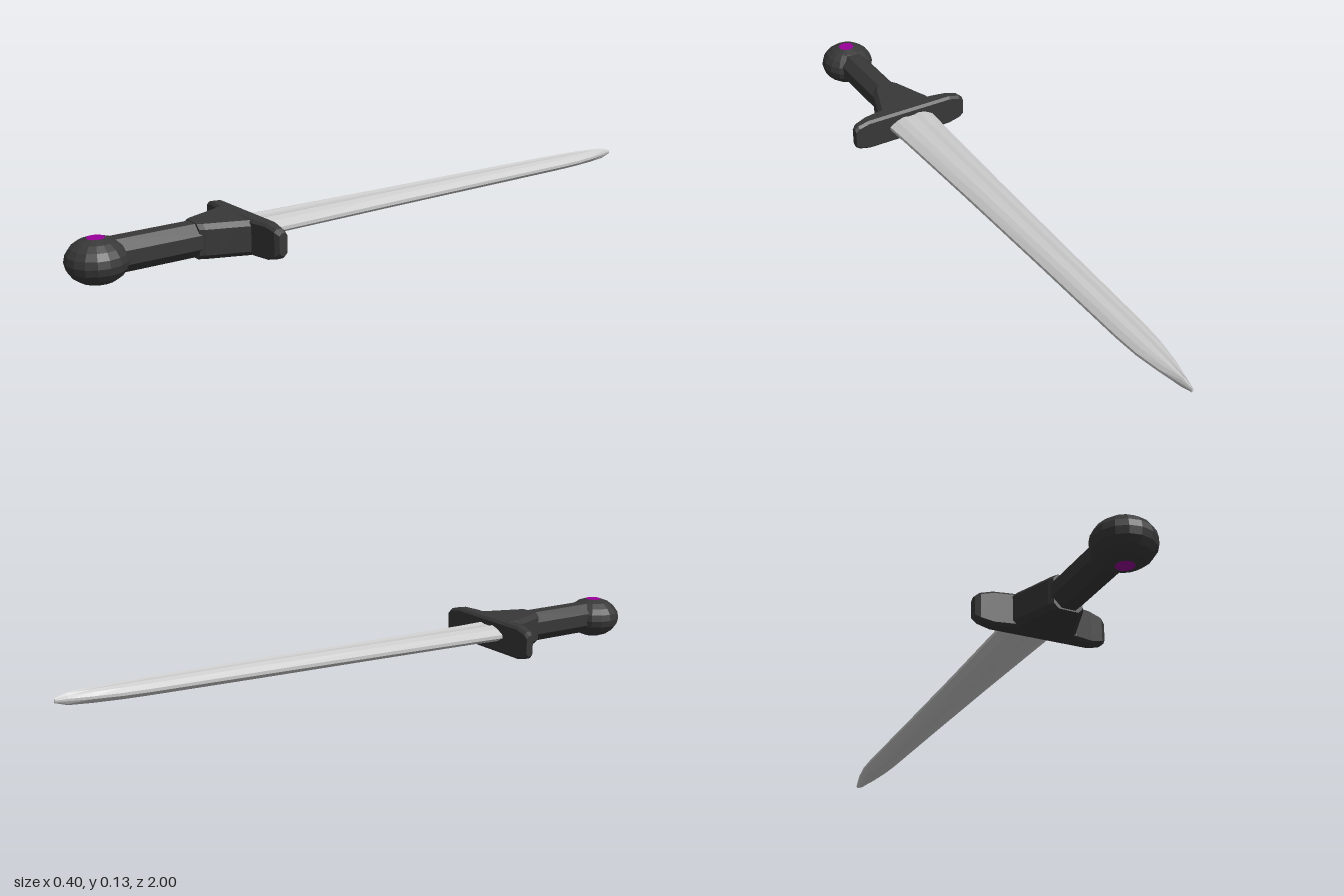
import * as THREE from 'three';

const steel = new THREE.MeshStandardMaterial({ color: 0xcccccc, flatShading: true });
const dark = new THREE.MeshStandardMaterial({ color: 0x383838, flatShading: true });
const purple = new THREE.MeshStandardMaterial({ color: 0x990099, flatShading: true });

// Skin a list of rings (anticlockwise about the direction of travel) and close both ends
function loft(rings) {
  const n = rings[0].length, pos = rings.flat(2), index = [];
  const centre = (ring) => {
    for (let k = 0; k < 3; k++) pos.push(ring.reduce((s, p) => s + p[k], 0) / n);
    return pos.length / 3 - 1;
  };
  const last = (rings.length - 1) * n;
  const c0 = centre(rings[0]), c1 = centre(rings[rings.length - 1]);
  for (let j = 0; j < n; j++) {
    const k = (j + 1) % n;
    for (let i = 0; i < last; i += n) {
      index.push(i + j, i + k, i + n + j, i + k, i + n + k, i + n + j);
    }
    index.push(c0, k, j, c1, last + j, last + k);
  }
  const g = new THREE.BufferGeometry();
  g.setAttribute('position', new THREE.Float32BufferAttribute(pos, 3));
  g.setIndex(index);
  g.computeVertexNormals();
  return g;
}

// Rectangle with cut corners, anticlockwise
function chamferRect(a0, a1, b0, b1, c) {
  return [[a1, b0 + c], [a1, b1 - c], [a1 - c, b1], [a0 + c, b1],
    [a0, b1 - c], [a0, b0 + c], [a0 + c, b0], [a1 - c, b0]];
}

function add(group, name, geometry, material) {
  const mesh = new THREE.Mesh(geometry, material);
  mesh.name = name;
  group.add(mesh);
  return mesh;
}

export function createModel() {
  const sword = new THREE.Group();
  sword.name = 'sword';

  // Blade: bevelled edges and a shallow groove, narrowing to the point
  const half = [[1, 0.2], [0.68, 0.72], [0.36, 1], [0.14, 0.85]];
  const upper = [...half, ...half.map(([x, y]) => [-x, y]).reverse()];
  const profile = [...upper, ...upper.map(([x, y]) => [-x, -y])];
  const stations = [ // z, half width, half thickness
    [-1, 0.003, 0.006], [-0.965, 0.012, 0.016], [-0.9, 0.028, 0.019], [-0.82, 0.041, 0.021],
    [-0.74, 0.046, 0.022], [-0.4, 0.053, 0.024], [0, 0.063, 0.025], [0.36, 0.075, 0.026],
    [0.46, 0.08, 0.028]];
  add(sword, 'blade', loft(stations.map(([z, w, t]) =>
    profile.map(([x, y]) => [x * w - 0.006 * z, y * t + 0.076 - 0.006 * z, z]))), steel);

  // Crossguard: a flat bar with rounded ends
  const bar = [[0.2, 0.033, 0.472], [0.187, 0.043, 0.481], [0.15, 0.052, 0.487], [0.095, 0.052, 0.497]];
  const barSections = [...bar.map(([x, h, z]) => [-x, h, z]), ...bar.slice().reverse()];
  add(sword, 'crossguard', loft(barSections.map(([x, h, z]) => {
    const y = 0.069 + 0.022 * x;
    return chamferRect(y - h, y + h, 0.447, z, 0.008).map(([b, c]) => [x, b, c]);
  })), dark);

  // Collar tapering from the guard to the grip
  const collar = [[0.47, 0.1], [0.5, 0.095], [0.53, 0.083], [0.58, 0.065], [0.615, 0.052], [0.63, 0.043]];
  add(sword, 'collar', loft(collar.map(([z, w]) =>
    chamferRect(-w - 0.003, w - 0.003, 0.018, 0.12, 0.014).map(([x, y]) => [x, y, z]))), dark);

  // Eight-sided grip
  const grip = new THREE.CylinderGeometry(0.052, 0.052, 0.28, 8).rotateY(Math.PI / 8).rotateX(Math.PI / 2);
  add(sword, 'grip', grip, dark).position.set(-0.003, 0.07, 0.73);

  // Pommel: a flattened ball with an inlay above and below
  const pommel = new THREE.Group();
  pommel.name = 'pommel';
  pommel.position.set(-0.003, 0.065, 0.913);
  sword.add(pommel);
  const cut = 0.29;
  const ball = new THREE.SphereGeometry(1, 16, 8, 0, Math.PI * 2, cut, Math.PI - 2 * cut);
  add(pommel, 'pommelBall', ball, dark).scale.set(0.088, 0.0655, 0.087);
  for (const side of [1, -1]) {
    const disc = new THREE.CircleGeometry(Math.sin(cut), 16).rotateX(-side * Math.PI / 2);
    const inlay = add(pommel, side > 0 ? 'topInlay' : 'bottomInlay', disc, purple);
    inlay.scale.set(0.088, 1, 0.087);
    inlay.position.y = side * Math.cos(cut) * 0.0655;
  }
  return sword;
}
